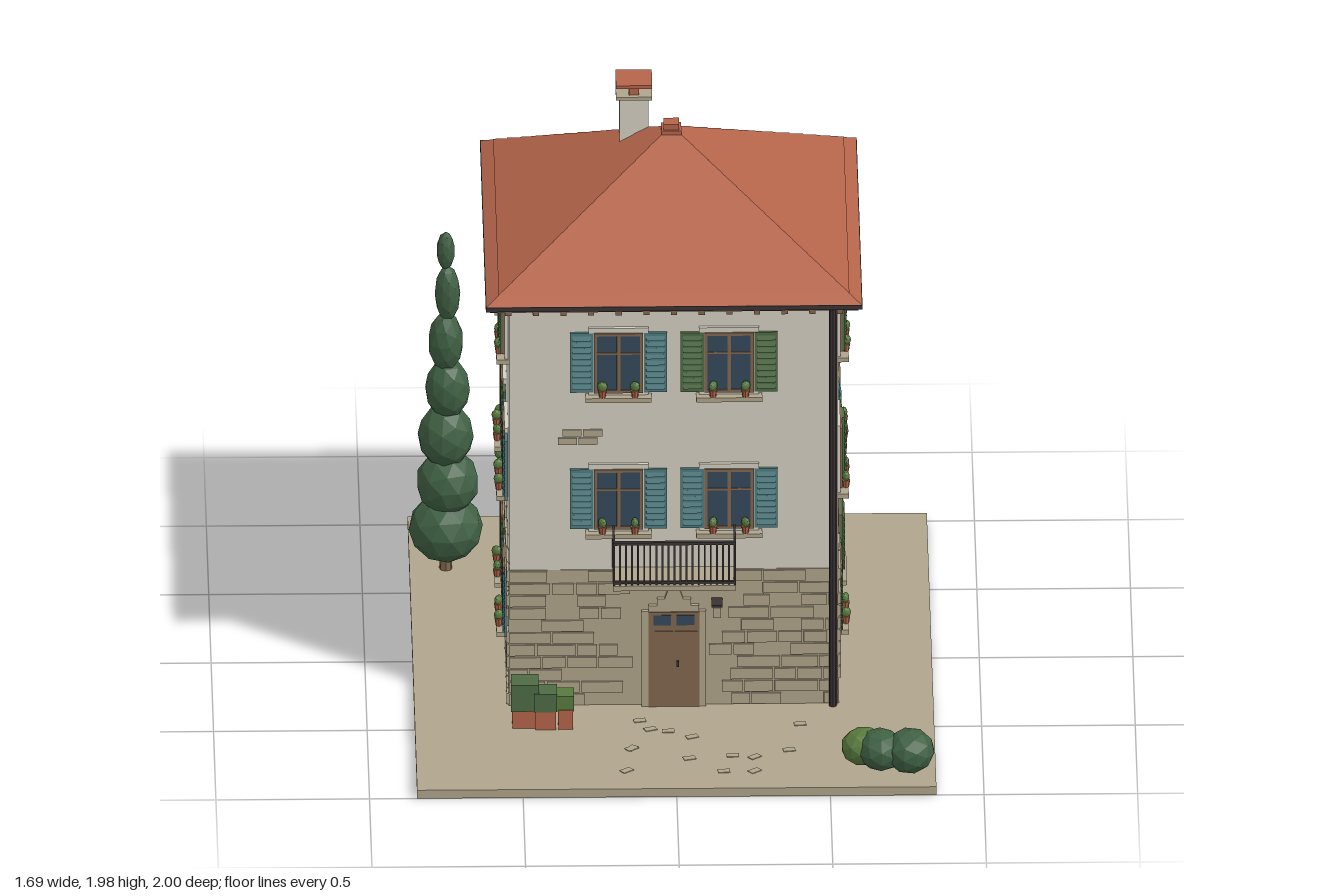
import * as THREE from 'three';

const mat = (name, color) => Object.assign(new THREE.MeshStandardMaterial({ color, flatShading: true }), { name });
const M = {
  plaster: mat('plaster', 0xd4cfc2), stone: mat('stone', 0xb0a48b), tile: mat('terracotta', 0xb4644a),
  green: mat('shutter green', 0x4f6b45), teal: mat('shutter teal', 0x4f7c80), glass: mat('glass', 0x35485a),
  wood: mat('wood', 0x80674f), metal: mat('dark metal', 0x3a3334), foliage: mat('dark foliage', 0x3f6043),
  leaf: mat('light leaf', 0x587a3e),
};
const H = 0.535, CZ = -0.154; // half width of the walls, house centre in z

let seed = 7;
const rnd = () => (seed = (seed * 16807) % 2147483647) / 2147483647;

function add(parent, name, geo, m, x = 0, y = 0, z = 0) {
  const mesh = new THREE.Mesh(geo, m);
  mesh.name = name;
  mesh.position.set(x, y, z);
  parent.add(mesh);
  return mesh;
}
const box = (p, name, m, w, h, d, x, y, z) => add(p, name, new THREE.BoxGeometry(w, h, d), m, x, y, z);
function group(parent, name, x = 0, y = 0, z = 0) {
  const g = new THREE.Group();
  g.name = name;
  g.position.set(x, y, z);
  parent.add(g);
  return g;
}
function blob(p, name, m, x, y, z, rx, ry, rz = rx) {
  const b = add(p, name, new THREE.IcosahedronGeometry(1, 1), m, x, y, z);
  b.scale.set(rx, ry, rz);
  b.rotation.y = rnd() * 3;
}

// Louvred shutter leaf
function shutter(p, m, x, z) {
  const g = group(p, 'shutter', x, 0, z);
  box(g, 'shutterPanel', m, 0.076, 0.215, 0.01, 0, 0, 0);
  for (let i = 0; i < 9; i++) {
    const s = box(g, 'slat', m, 0.06, 0.016, 0.005, 0, -0.088 + i * 0.022, 0.006);
    s.rotation.x = -0.4;
  }
}

// Window, centred on its glass, facing +z; state is open, closed or half
function windowUnit(p, x, y, state, m, trim) {
  const g = group(p, 'window', x, y, H);
  box(g, 'surround', trim, 0.195, 0.25, 0.016, 0, 0, 0.004);
  box(g, 'sill', M.stone, 0.215, 0.016, 0.045, 0, -0.125, 0.016);
  box(g, 'glass', M.glass, 0.155, 0.21, 0.004, 0, 0, 0.012);
  for (const s of [-1, 1]) {
    box(g, 'frameSide', M.wood, 0.01, 0.215, 0.008, s * 0.075, 0, 0.014);
    box(g, 'frameRail', M.wood, 0.16, 0.01, 0.008, 0, s * 0.103, 0.014);
  }
  box(g, 'mullion', M.wood, 0.012, 0.21, 0.008, 0, 0, 0.014);
  box(g, 'transom', M.wood, 0.15, 0.007, 0.007, 0, 0.035, 0.014);
  if (state === 'open') [-0.12, 0.12].forEach((sx) => shutter(g, m, sx, 0.008));
  if (state === 'closed') [-0.038, 0.038].forEach((sx) => shutter(g, m, sx, 0.021));
  if (state === 'half') { shutter(g, m, 0.038, 0.021); shutter(g, m, 0.12, 0.008); }
  if (state !== 'closed' || rnd() > 0.6) {
    for (const px of [-0.053, 0.053]) {
      add(g, 'flowerPot', new THREE.CylinderGeometry(0.014, 0.01, 0.026, 8), M.tile, px, -0.104, 0.03);
      blob(g, 'potPlant', M.leaf, px, -0.078, 0.03, 0.017, 0.018, 0.012);
    }
  }
}

// Raised masonry on one face, leaving openings free
function masonry(p, holes) {
  const rows = 11, h = 0.49 / rows;
  for (let r = 0; r < rows; r++) {
    const y = 0.03 + (r + 0.5) * h;
    for (let x = -H - 0.003; x < H - 0.02;) {
      const w = Math.min(0.06 + rnd() * 0.09, H + 0.003 - x), cx = x + w / 2;
      const blocked = holes.some(([a, b, c, d]) => x + w > a && x < b && y + h / 2 > c && y - h / 2 < d);
      if (!blocked && rnd() > 0.25) box(p, 'stoneBlock', M.stone, w - 0.006, h - 0.006, 0.012, cx, y, H + 0.003);
      x += w;
    }
  }
}

// Bare bricks showing through the plaster
function patch(p, x, y, n) {
  for (let r = 0; r < 2; r++) for (let i = 0; i < n; i++)
    box(p, 'bareBrick', M.stone, 0.062, 0.024, 0.008, x + (i - (n - 1) / 2) * 0.067 + (r - 0.5) * 0.015, y + r * 0.03, H + 0.001);
}

function cypress(p) {
  const g = group(p, 'cypress', -0.727, 0, -0.62);
  add(g, 'trunk', new THREE.CylinderGeometry(0.018, 0.022, 0.1, 7), M.wood, 0, 0.07, 0);
  [[0.18, 0.122, 0.115], [0.345, 0.104, 0.11], [0.515, 0.092, 0.11], [0.685, 0.074, 0.105], [0.855, 0.058, 0.105],
    [1.03, 0.042, 0.1], [1.185, 0.03, 0.068]].forEach(([y, r, h], i) => blob(g, 'foliageTier', M.foliage, (i % 2) * 0.006, y, 0, r, h));
}

function roof(p) {
  const g = group(p, 'roof', 0, 0, -0.157);
  box(g, 'soffit', M.wood, 1.2, 0.012, 1.2, 0, 1.492, 0);
  box(g, 'fascia', M.metal, 1.226, 0.016, 1.226, 0, 1.503, 0);
  // overlapping tile courses
  const n = 13, R = 0.612, top = 0.025;
  for (let i = 0; i < n; i++) {
    const r0 = R + (top - R) * i / n + (i ? 0.004 : 0), r1 = R + (top - R) * (i + 1) / n;
    const geo = new THREE.CylinderGeometry(r1 * Math.SQRT2, r0 * Math.SQRT2, 0.34 / n, 4).rotateY(Math.PI / 4);
    add(g, 'tileCourse', geo, M.tile, 0, 1.51 + (i + 0.5) * 0.34 / n, 0);
  }
  box(g, 'ridgeCap', M.tile, 0.065, 0.02, 0.065, 0, 1.85, 0);
  box(g, 'ridgeFinial', M.tile, 0.05, 0.024, 0.05, 0, 1.868, 0);
  // rafter tails on all four sides
  for (let s = 0; s < 4; s++) {
    const side = group(g, 'rafters');
    side.rotation.y = s * Math.PI / 2;
    for (let i = 0; i < 13; i++) box(side, 'rafter', M.wood, 0.02, 0.014, 0.07, -0.54 + i * 0.09, 1.481, 0.565);
  }
}

function chimney(p) {
  const g = group(p, 'chimney', -0.12, 0, -0.28);
  box(g, 'stack', M.plaster, 0.094, 0.32, 0.094, 0, 1.765, 0);
  box(g, 'stackSlab', M.stone, 0.118, 0.012, 0.118, 0, 1.93, 0);
  box(g, 'flue', M.tile, 0.034, 0.032, 0.088, 0, 1.952, 0);
  box(g, 'chimneyCap', M.tile, 0.118, 0.012, 0.118, 0, 1.972, 0);
}

function balcony(p) {
  const g = group(p, 'balcony');
  box(g, 'slab', M.stone, 0.4, 0.018, 0.14, 0, 0.521, 0.455);
  box(g, 'topRail', M.metal, 0.4, 0.01, 0.014, 0, 0.682, 0.517);
  box(g, 'bottomRail', M.metal, 0.4, 0.008, 0.01, 0, 0.54, 0.517);
  for (let i = 0; i < 21; i++) box(g, 'baluster', M.metal, 0.006, 0.15, 0.006, -0.197 + i * 0.0197, 0.606, 0.517);
  for (const s of [-1, 1]) box(g, 'sideRailing', M.metal, 0.007, 0.157, 0.14, s * 0.197, 0.608, 0.453);
}

function door(p) {
  const g = group(p, 'door', 0, 0, H);
  const right = [[0.105, 0.03], [0.105, 0.375], [0.082, 0.375], [0.082, 0.395], [0.055, 0.395], [0.055, 0.42], [0.03, 0.42], [0.018, 0.455]];
  const pts = [...right, ...right.map(([x, y]) => [-x, y]).reverse()].map(([x, y]) => new THREE.Vector2(x, y));
  add(g, 'doorSurround', new THREE.ExtrudeGeometry(new THREE.Shape(pts), { depth: 0.018, bevelEnabled: false }), M.stone);
  box(g, 'doorPanel', M.wood, 0.166, 0.343, 0.008, 0, 0.202, 0.018);
  for (const s of [-1, 1]) {
    box(g, 'doorLeaf', M.wood, 0.074, 0.27, 0.006, s * 0.04, 0.17, 0.022);
    box(g, 'doorPane', M.glass, 0.058, 0.036, 0.004, s * 0.038, 0.345, 0.022);
  }
  box(g, 'handle', M.metal, 0.008, 0.02, 0.012, 0.012, 0.19, 0.028);
  box(g, 'lampArm', M.metal, 0.035, 0.008, 0.06, 0.14, 0.412, 0.03);
  box(g, 'lamp', M.stone, 0.026, 0.036, 0.028, 0.14, 0.388, 0.045);
}

export function createModel() {
  const model = new THREE.Group();
  model.name = 'townHouse';
  box(model, 'ground', M.stone, 1.69, 0.03, 2, 0, 0.015, 0);
  const house = group(model, 'house', 0, 0, CZ);
  box(house, 'upperWalls', M.plaster, 2 * H, 0.97, 2 * H, 0, 1.005, 0);
  box(house, 'stoneBase', M.stone, 2 * H + 0.006, 0.49, 2 * H + 0.006, 0, 0.275, 0);

  // windows of each face, from the top floor down: left, right
  const o = (c) => ['open', M[c]], c = (k) => ['closed', M[k]];
  const faces = [
    ['frontFace', 0, [[o('teal'), o('green')], [o('teal'), o('teal')], null]],
    ['leftFace', Math.PI / 2, [[c('green'), c('green')], [['half', M.green], o('teal')], [o('green'), c('green')]]],
    ['backFace', Math.PI, [[o('green'), o('teal')], [c('teal'), o('teal')], [o('green'), o('teal')]]],
    ['rightFace', -Math.PI / 2, [[c('teal'), c('green')], [o('green'), o('teal')], [o('green'), o('teal')]]],
  ];
  const f = {};
  for (const [name, turn, floors] of faces) {
    const g = f[name] = group(house, name);
    g.rotation.y = turn;
    floors.forEach((row, i) => row && row.forEach(([state, m], k) =>
      windowUnit(g, k ? 0.18 : -0.18, [1.277, 0.782, 0.287][i], state, m, i === 2 ? M.stone : M.plaster)));
    masonry(g, floors[2] ? [[-0.37, 0.37, 0.15, 0.42]] : [[-0.11, 0.11, 0, 0.44]]);
  }
  patch(f.frontFace, -0.305, 0.988, 2);
  patch(f.leftFace, 0.42, 0.785, 1);
  patch(f.backFace, 0.08, 1.0, 1);
  door(f.frontFace);
  // climbing plant
  for (let i = 0; i < 9; i++) blob(f.rightFace, 'vine', M.leaf, -0.42 + rnd() * 0.06, 0.42 + i * 0.026, H + 0.01, 0.025, 0.022, 0.02);

  roof(model);
  chimney(model);
  balcony(model);
  add(model, 'drainpipe', new THREE.CylinderGeometry(0.013, 0.013, 1.46, 8), M.metal, 0.517, 0.76, 0.4);
  cypress(model);

  // planters and bushes
  [[-0.487, 0.09, 0.52, 0.095], [-0.42, 0.075, 0.53, 0.065], [-0.355, 0.055, 0.53, 0.055]].forEach(([x, w, z, h], i) => {
    box(model, 'planter', M.tile, w - 0.008, 0.07, 0.07, x, 0.065, z);
    box(model, 'planterShrub', i === 2 ? M.leaf : M.green, w, h, 0.085 - i * 0.01, x, 0.095 + h / 2, z);
  });
  blob(model, 'bush', M.leaf, 0.61, 0.095, 0.83, 0.072, 0.062, 0.075);
  blob(model, 'bush', M.foliage, 0.665, 0.098, 0.86, 0.078, 0.068, 0.085);
  blob(model, 'bush', M.foliage, 0.76, 0.1, 0.875, 0.082, 0.074, 0.085);

  // paving flecks
  for (let i = 0; i < 14; i++) box(model, 'pavingStone', M.stone, 0.04, 0.003, 0.025, -0.25 + rnd() * 0.7, 0.031, 0.5 + rnd() * 0.4).rotation.y = rnd();
  return model;
}
